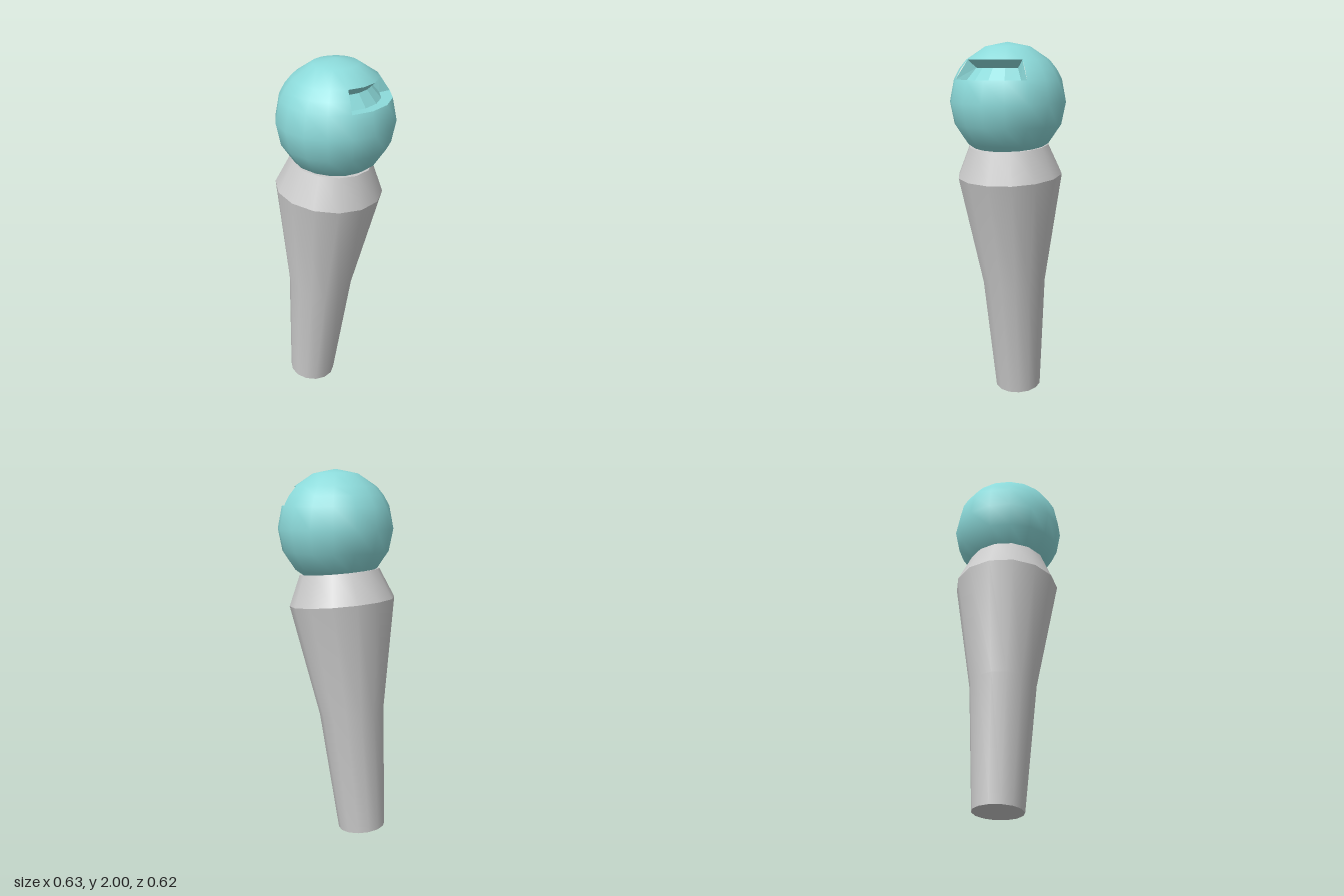
import * as THREE from 'three';

const grey = new THREE.MeshStandardMaterial({ color: 0xcccccc });
const teal = new THREE.MeshStandardMaterial({ color: 0x8cdada });

function add(parent, name, geometry, material) {
  const mesh = new THREE.Mesh(geometry, material);
  mesh.name = name;
  parent.add(mesh);
  return mesh;
}

// Revolves [radius, height] points into a 14-sided form
function turned(points) {
  return new THREE.LatheGeometry(points.map(([r, y]) => new THREE.Vector2(r, y)), 14, Math.PI / 2);
}

// Sunken walls of the slot: four columns of a three-sided channel, closed at both ends
function slotGeometry(R) {
  const on = (theta) => [R * Math.sin(theta), R * Math.cos(theta)];
  const section = [on(Math.PI / 4), [0.175, 0.177], [0.228, 0.115], on(Math.PI * 3 / 8)];
  const pos = [];
  const point = (col, k) => {
    const narrow = k === 1 || k === 2 ? 0.95 : 1;
    const a = (col - 2) * Math.PI / 8 * narrow;
    const [r, y] = section[k];
    return [r * Math.cos(a), y, r * Math.sin(a)];
  };
  const quad = (a, b, c, d) => pos.push(...a, ...b, ...c, ...a, ...c, ...d);
  for (let i = 0; i < 4; i++) {
    for (let k = 0; k < 3; k++) {
      quad(point(i, k), point(i + 1, k), point(i + 1, k + 1), point(i, k + 1));
    }
  }
  quad(point(0, 0), point(0, 1), point(0, 2), point(0, 3));
  quad(point(4, 3), point(4, 2), point(4, 1), point(4, 0));
  const g = new THREE.BufferGeometry();
  g.setAttribute('position', new THREE.Float32BufferAttribute(pos, 3));
  g.computeVertexNormals();
  return g;
}

export function createModel() {
  const model = new THREE.Group();
  model.name = 'model';

  // Leaning handle
  const handle = new THREE.Group();
  handle.name = 'handle';
  handle.position.set(-0.155, 0.017, 0.004);
  handle.rotation.z = -0.096;
  model.add(handle);
  add(handle, 'shaft', turned([[0.131, 0], [0.178, 0.671], [0.286, 1.289]]), grey);
  add(handle, 'collar', turned([[0.286, 1.289], [0.216, 1.452]]), grey);
  const base = add(handle, 'shaftEnd', new THREE.CircleGeometry(0.131, 14), grey);
  base.rotation.x = Math.PI / 2;
  const rim = add(handle, 'collarTop', new THREE.CircleGeometry(0.216, 14), grey);
  rim.rotation.x = -Math.PI / 2;
  rim.position.y = 1.452;

  // Ball head, with a gap in one band for the slot
  const R = 0.309, PI = Math.PI;
  const head = new THREE.Group();
  head.name = 'head';
  head.position.set(0.006, 1.691, 0);
  head.rotation.y = -0.025;
  model.add(head);
  add(head, 'headTop', new THREE.SphereGeometry(R, 16, 2, 0, 2 * PI, 0, PI / 4), teal);
  add(head, 'headBand', new THREE.SphereGeometry(R, 12, 1, PI * 1.25, PI * 1.5, PI / 4, PI / 8), teal);
  add(head, 'headBottom', new THREE.SphereGeometry(R, 16, 5, 0, 2 * PI, PI * 3 / 8, PI * 5 / 8), teal);
  const slotMaterial = teal.clone();
  slotMaterial.side = THREE.DoubleSide;
  slotMaterial.flatShading = true;
  add(head, 'slot', slotGeometry(R), slotMaterial);

  return model;
}
